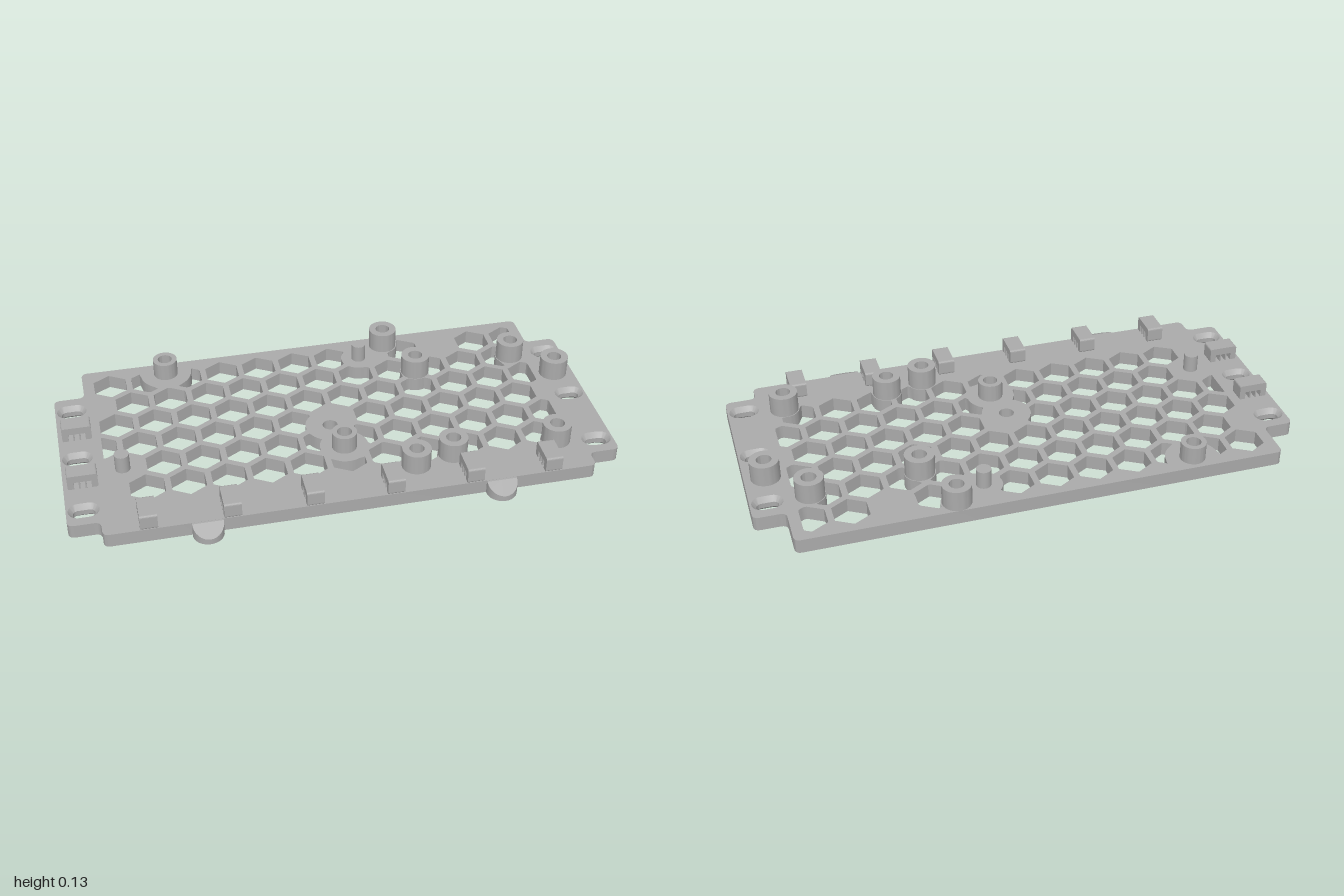
import * as THREE from 'three';
import { toCreasedNormals } from 'three/addons/utils/BufferGeometryUtils.js';

const T = 0.053;                                   // plate thickness
const grey = new THREE.MeshStandardMaterial({ color: 0xaaaaaa, side: THREE.DoubleSide });
grey.name = 'plain grey';

// [x, z, outer radius, top height, clear radius around it]
const bosses = [
  [-0.56, -0.447, 0.046, 0.12, 0.098], [0.022, 0.147, 0.046, 0.12, 0.09],
  [0.315, -0.457, 0.053, 0.13, 0.057], [0.396, -0.254, 0.054, 0.13, 0.057],
  [0.79, -0.275, 0.052, 0.13, 0.055], [0.922, -0.13, 0.053, 0.13, 0.055],
  [0.25, 0.31, 0.053, 0.13, 0.056], [0.396, 0.276, 0.053, 0.13, 0.056],
  [0.79, 0.276, 0.053, 0.13, 0.056],
];
const pins = [[-0.783, 0.104], [0.2, -0.388]];
const BORE = 0.027, CENTRE = [-0.002, 0.013];
const clear = [...bosses.map(b => [b[0], b[1], b[4]]), [...CENTRE, 0.092], ...pins.map(p => [...p, 0.068])];
const slots = [];
for (const x of [-0.938, 0.938]) for (const z of [-0.275, 0.013, 0.302]) slots.push([x, z]);

function mesh(name, geometry, x = 0, y = 0, z = 0) {
  const m = new THREE.Mesh(geometry, grey);
  m.name = name;
  m.position.set(x, y, z);
  return m;
}

// Extrudes a shape drawn in x,z so that it spans y = 0 to y = height
function slab(shape, height) {
  const g = new THREE.ExtrudeGeometry(shape, { depth: height, bevelEnabled: false, curveSegments: 24 });
  return toCreasedNormals(g.rotateX(Math.PI / 2).translate(0, height, 0), 0.5);
}

function roundedPolygon(points, r) {
  const s = new THREE.Shape(), n = points.length;
  const v = points.map(p => new THREE.Vector2(...p));
  v.forEach((p, i) => {
    const toward = q => q.clone().sub(p).setLength(r).add(p);
    const a = toward(v[(i + n - 1) % n]), b = toward(v[(i + 1) % n]);
    if (i === 0) s.moveTo(a.x, a.y); else s.lineTo(a.x, a.y);
    s.quadraticCurveTo(p.x, p.y, b.x, b.y);
  });
  s.closePath();
  return s;
}

const circle = (x, z, r) => new THREE.Path().absarc(x, z, r, 0, Math.PI * 2, false);

// Points of an oval slot with half length a and half width b
function oval(cx, cz, a, b) {
  const pts = [];
  for (let i = 0; i < 32; i++) {
    const t = ((i + 0.5) / 32) * Math.PI * 2;
    pts.push(new THREE.Vector2(cx + Math.sign(Math.cos(t)) * (a - b) + b * Math.cos(t), cz + b * Math.sin(t)));
  }
  return pts;
}

// Hexagonal opening, trimmed by the solid areas around bosses and pins
const APOTHEM = 0.0615, R = 0.071;
function hexHole(cx, cz) {
  const room = (x, z) => {
    let d = 0.845 - Math.abs(x);
    for (let k = 0; k < 6; k++) {
      const t = k * Math.PI / 3;
      d = Math.min(d, APOTHEM - (x - cx) * Math.cos(t) - (z - cz) * Math.sin(t));
    }
    for (const [px, pz, r] of clear) d = Math.min(d, Math.hypot(x - px, z - pz) - r);
    return d;
  };
  const pts = [];
  const whole = Math.abs(cx) + APOTHEM < 0.845 && clear.every(c => Math.hypot(cx - c[0], cz - c[1]) > c[2] + R);
  if (whole) {
    for (let k = 0; k < 6; k++) {
      const t = (k + 0.5) * Math.PI / 3;
      pts.push(new THREE.Vector2(cx + R * Math.cos(t), cz + R * Math.sin(t)));
    }
    return new THREE.Path(pts);
  }
  // start from the roomiest point and trace outwards
  let best = 0, bx = cx, bz = cz;
  for (let i = -18; i <= 18; i++) for (let j = -18; j <= 18; j++) {
    const x = cx + i * 0.004, z = cz + j * 0.004, d = room(x, z);
    if (d > best + 1e-6) { best = d; bx = x; bz = z; }
  }
  if (best < 0.011) return null;
  for (let i = 0; i < 48; i++) {
    const a = (i + 0.5) / 48 * Math.PI * 2;
    let t = best * 0.9;
    for (let s = 0; s < 60; s++) t += Math.max(0, room(bx + t * Math.cos(a), bz + t * Math.sin(a)));
    pts.push(new THREE.Vector2(bx + t * Math.cos(a), bz + t * Math.sin(a)));
  }
  return new THREE.Path(pts);
}

function basePlate() {
  const shape = roundedPolygon([
    [-0.885, -0.51], [0.885, -0.51], [0.885, -0.352], [1, -0.352], [1, 0.377], [0.885, 0.377],
    [0.885, 0.448], [-0.885, 0.448], [-0.885, 0.377], [-1, 0.377], [-1, -0.352], [-0.885, -0.352],
  ], 0.025);
  const skip = ['0,7', '0,9', '4,0'];
  for (let row = 0; row < 6; row++) {
    const odd = row % 2;
    for (let k = row === 3 ? -1 : 0; k < (odd ? 11 : 12); k++) {
      if (skip.includes(row + ',' + k)) continue;
      const h = hexHole((odd ? -0.708 : -0.781) + k * 0.1455, -0.405 + row * 0.126);
      if (h) shape.holes.push(h);
    }
  }
  for (const b of bosses) shape.holes.push(circle(b[0], b[1], BORE));
  shape.holes.push(circle(...CENTRE, 0.028));
  for (const [x, z] of slots) shape.holes.push(new THREE.Path(oval(x, z, 0.055, 0.038)));
  return mesh('basePlate', slab(shape, T));
}

// Sloping walls of a slot, wide at both faces and narrow in the middle
function slotWall(x, z) {
  const rings = [[0.055, 0.038, T], [0.039, 0.02, T - 0.017], [0.039, 0.02, 0.017], [0.055, 0.038, 0]];
  const pos = [], index = [];
  rings.forEach(([a, b, y], r) => oval(0, 0, a, b).forEach((p, i) => {
    pos.push(p.x, y, p.y);
    if (r < 3) {
      const j = (i + 1) % 32, o = r * 32, q = o + 32;
      index.push(o + i, o + j, q + i, o + j, q + j, q + i);
    }
  }));
  const g = new THREE.BufferGeometry();
  g.setAttribute('position', new THREE.Float32BufferAttribute(pos, 3));
  g.setIndex(index);
  return mesh('slotWall', toCreasedNormals(g, 0.5), x, 0, z);
}

// Bridge-shaped cable clip, long side along x
function clip(x, z, turn) {
  const g = new THREE.Group();
  g.name = 'cableClip';
  const s = roundedPolygon([[-0.054, 0], [0.054, 0], [0.054, 0.058], [-0.054, 0.058]], 0.008);
  for (let i = -1; i <= 1; i++) {
    const c = i * 0.0225, w = 0.0085;
    s.holes.push(new THREE.Path([[c - w, 0.001], [c + w, 0.001], [c + w, 0.03], [c - w, 0.03]].map(p => new THREE.Vector2(...p))));
  }
  const body = new THREE.ExtrudeGeometry(s, { depth: 0.062, bevelEnabled: false, curveSegments: 4 });
  g.add(mesh('clipBridge', body.translate(0, 0, -0.031)));
  g.position.set(x, T - 0.001, z);
  g.rotation.y = turn;
  return g;
}

// Rounded front tab with a sloping top
function tab(x) {
  const g = new THREE.CylinderGeometry(0.055, 0.055, T, 32, 1).translate(0, T / 2, 0);
  const p = g.attributes.position;
  for (let i = 0; i < p.count; i++) {
    if (p.getY(i) > T / 2) p.setY(i, T - 0.0005 - Math.max(0, p.getZ(i)) * 0.56);
  }
  return mesh('frontTab', toCreasedNormals(g, 0.5), x, 0, 0.455);
}

export function createModel() {
  const model = new THREE.Group();
  model.name = 'mountingPlate';
  model.add(basePlate());
  for (const [x, z] of slots) model.add(slotWall(x, z));

  // Hollow screw bosses and solid pins
  for (const [x, z, r, top] of bosses) {
    const ring = new THREE.Shape().absarc(0, 0, r, 0, Math.PI * 2, false);
    ring.holes.push(circle(0, 0, BORE));
    model.add(mesh('screwBoss', slab(ring, top - T), x, T, z));
  }
  for (const [x, z] of pins) {
    model.add(mesh('locatingPin', new THREE.CylinderGeometry(0.027, 0.027, 0.12 - T, 32), x, (0.12 + T) / 2, z));
  }

  // Clips along the front and the right edge
  for (let i = 0; i < 6; i++) model.add(clip(-0.727 + i * 0.29, 0.393, Math.PI / 2));
  for (const z of [-0.125, 0.152]) model.add(clip(-0.93, z, 0));
  for (const x of [-0.527, 0.527]) model.add(tab(x));
  return model;
}
